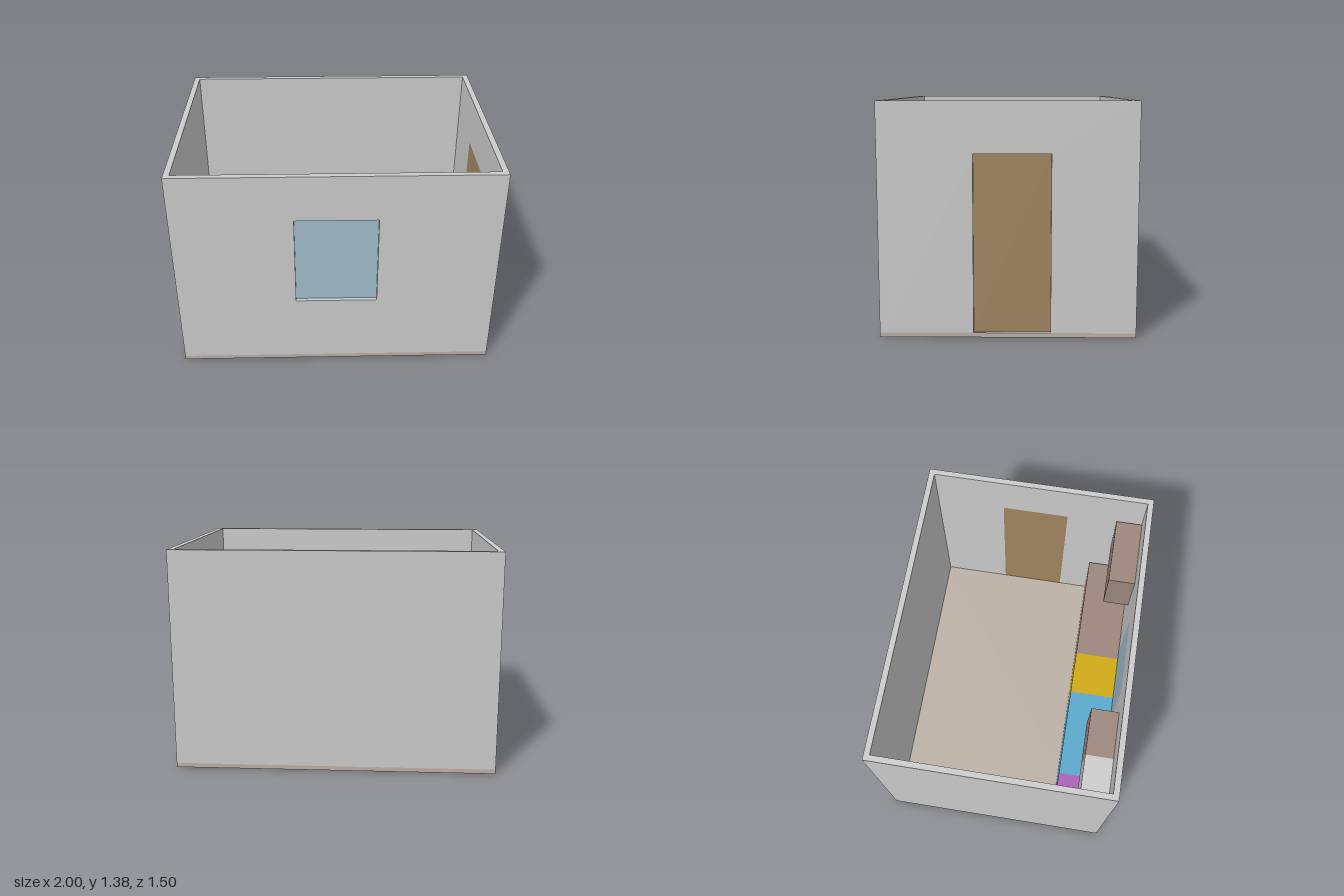
import * as THREE from 'three';

const W = 2, D = 1.5, FLOOR = 0.0275, WALL = 1.35, T = 0.0375;
const X = W / 2 - T, Z = D / 2 - T; // inner faces of the walls
const PANE = 0.0125;

const material = (color) => new THREE.MeshStandardMaterial({ color, flatShading: true });

// Box given by its limits on each axis
function box(name, color, [x0, x1], [y0, y1], [z0, z1]) {
  const mesh = new THREE.Mesh(new THREE.BoxGeometry(x1 - x0, y1 - y0, z1 - z0), material(color));
  mesh.position.set((x0 + x1) / 2, (y0 + y1) / 2, (z0 + z1) / 2);
  mesh.name = name;
  return mesh;
}

// Wall slab standing on the floor, outer face towards local +z, with an optional opening
function wall(name, width, opening) {
  const w = width / 2;
  const rect = (P, x0, x1, y0, y1) =>
    new P([[x0, y0], [x1, y0], [x1, y1], [x0, y1]].map((p) => new THREE.Vector2(...p)));
  const shape = rect(THREE.Shape, -w, w, 0, WALL);
  if (opening) shape.holes.push(rect(THREE.Path, ...opening));
  const mesh = new THREE.Mesh(
    new THREE.ExtrudeGeometry(shape, { depth: T, bevelEnabled: false }), material(0xcccccc));
  mesh.name = name;
  mesh.position.y = FLOOR;
  return mesh;
}

export function createModel() {
  const room = new THREE.Group();
  room.name = 'kitchenRoom';

  // Floor slab
  room.add(box('floor', 0xbcb0a6, [-W / 2, W / 2], [0, FLOOR], [-D / 2, D / 2]));

  // Walls: window in the front, door in the +x side
  const front = wall('frontWall', W, [-0.255, 0.255, 0.45, 1.05]);
  front.position.z = Z;
  const back = wall('backWall', W);
  back.position.z = -D / 2;
  const doorSide = wall('doorWall', 2 * Z, [-0.2, 0.25, 0, 1.05]);
  doorSide.rotation.y = Math.PI / 2;
  doorSide.position.x = X;
  const plainSide = wall('plainSideWall', 2 * Z);
  plainSide.rotation.y = -Math.PI / 2;
  plainSide.position.x = -X;
  room.add(front, back, doorSide, plainSide);

  // Window pane and door leaf, flush with the inner wall faces
  room.add(box('window', 0xa0bccc, [-0.255, 0.255], [FLOOR + 0.45, FLOOR + 1.05], [Z, Z + PANE]));
  room.add(box('door', 0xa08660, [X, X + PANE], [FLOOR, FLOOR + 1.05], [-0.25, 0.2]));

  // Row of base units along the front wall
  const base = new THREE.Group();
  base.name = 'baseUnits';
  const baseUnits = [
    ['stove', 0xaa60b4, -X, -0.7],
    ['sinkUnit', 0x58a8cd, -0.7, -0.1],
    ['dishwasher', 0xd0aa10, -0.1, 0.2],
    ['baseCabinet', 0x9c877d, 0.2, 0.95],
  ];
  for (const [name, color, x0, x1] of baseUnits)
    base.add(box(name, color, [x0, x1], [FLOOR, FLOOR + 0.45], [Z - 0.305, Z]));

  // Units hung on the wall above
  const upper = new THREE.Group();
  upper.name = 'wallUnits';
  const wallUnits = [
    ['extractorHood', 0xc0c0c0, -X, -0.7],
    ['wallCabinet', 0x9c877d, -0.7, -0.4],
    ['wallCabinet', 0x9c877d, 0.5, 0.95],
  ];
  for (const [name, color, x0, x1] of wallUnits)
    upper.add(box(name, color, [x0, x1], [FLOOR + 0.75, FLOOR + 1.1], [Z - 0.175, Z]));

  room.add(base, upper);
  return room;
}
